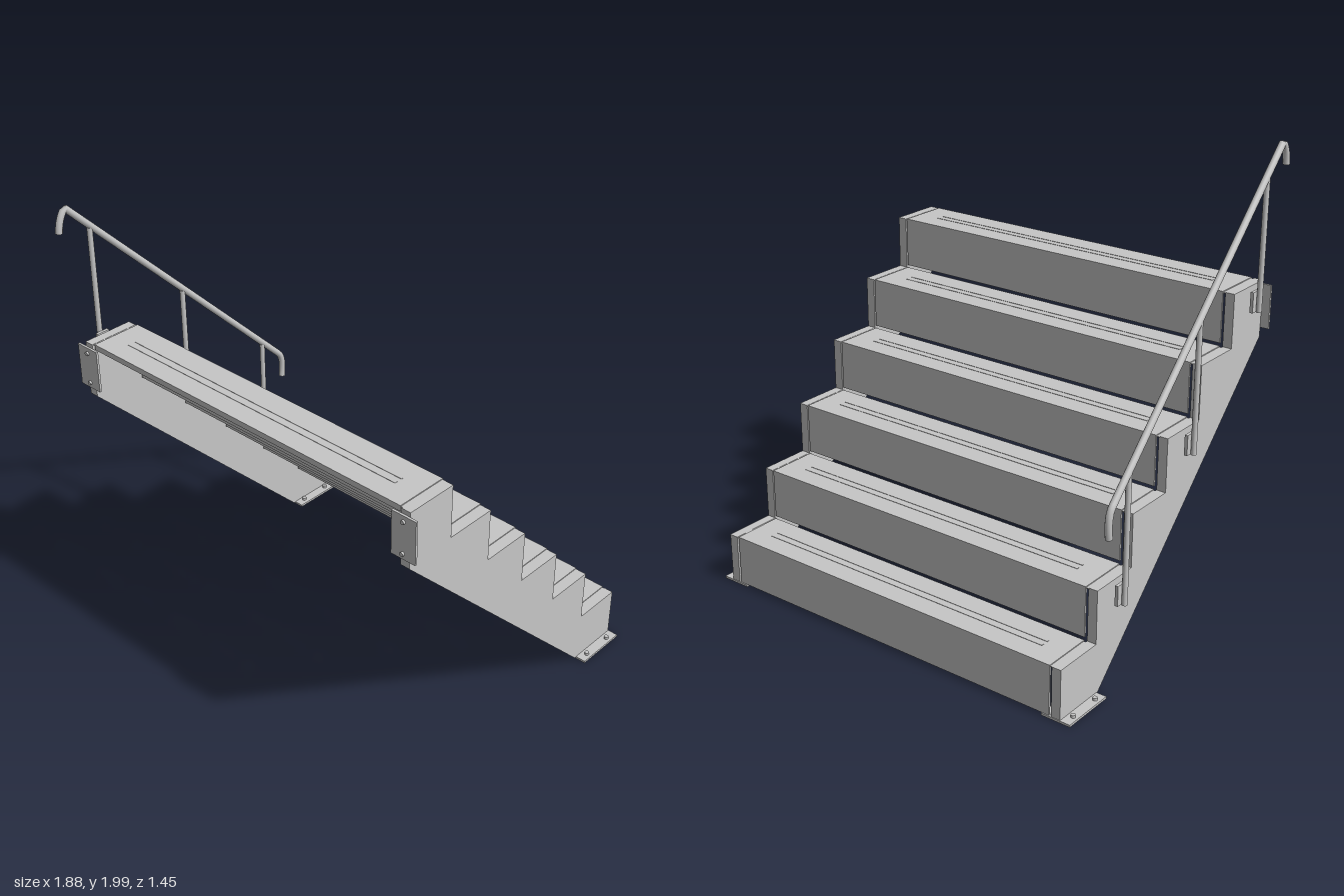
import * as THREE from 'three';

export function createModel() {
  const group = new THREE.Group();
  const steel = new THREE.MeshStandardMaterial({ color: 0xc6c6c6 });
  steel.name = 'steel grey';

  const STEPS = 6, RISE = 0.2335, RUN = 0.232, BACK = -0.722, CX = 0.006;

  const add = (name, geo, x = 0, y = 0, z = 0) => {
    const m = new THREE.Mesh(geo, steel);
    m.name = name;
    m.position.set(x, y, z);
    group.add(m);
    return m;
  };
  const box = (name, w, h, d, x, y, z) => add(name, new THREE.BoxGeometry(w, h, d), x, y, z);

  // Extrudes a [z, y] profile along x, centred on x = cx
  const profile = (name, pts, width, cx) => {
    const shape = new THREE.Shape(pts.map(([z, y]) => new THREE.Vector2(-z, y)));
    const geo = new THREE.ExtrudeGeometry(shape, { depth: width, bevelEnabled: false });
    geo.translate(0, 0, -width / 2);
    geo.rotateY(Math.PI / 2);
    return add(name, geo, cx);
  };

  // Saw-toothed side stringers, feet and wall plates
  const outline = [[-0.47, 0.008], [BACK, 0.008]];
  for (let i = 0; i < STEPS; i++) {
    const y = RISE * (i + 1) - 0.003;
    outline.push([BACK + RUN * i, y], [BACK + RUN * (i + 1), y]);
  }
  outline.push([0.67, 1.15]);
  for (const s of [-1, 1]) {
    const side = s < 0 ? 'right' : 'left';
    profile(side + 'Stringer', outline, 0.042, CX + s * 0.866);
    box(side + 'FootPlate', 0.134, 0.01, 0.245, CX + s * 0.867, 0.005, -0.602);
    box(side + 'WallPlate', 0.116, 0.19, 0.01, CX + s * 0.866, 1.285, 0.677);
    for (const z of [-0.672, -0.525]) {
      for (const x of [0.826, 0.912]) {
        add(side + 'FootBolt', new THREE.CylinderGeometry(0.01, 0.01, 0.012, 12), CX + s * x, 0.016, z);
      }
    }
    for (const y of [1.215, 1.355]) {
      add(side + 'WallBolt', new THREE.CylinderGeometry(0.009, 0.009, 0.01, 12), CX + s * 0.865, y, 0.686)
        .rotation.x = Math.PI / 2;
    }
  }

  // Folded treads: deep riser at the low edge, short lip at the high edge
  const T = 0.008;
  for (let i = 0; i < STEPS; i++) {
    const z0 = BACK + RUN * i - (i ? 0.004 : 0), z1 = BACK + RUN * (i + 1) - 0.005, y = RISE * (i + 1);
    profile('tread', [
      [z0, y - 0.222], [z0, y], [z1, y], [z1, y - 0.025],
      [z1 - T, y - 0.025], [z1 - T, y - T], [z0 + T, y - T], [z0 + T, y - 0.222],
    ], 1.67, CX);
    // Thin sheet joining the tread to both stringers
    box('treadTab', 1.7, 0.004, z1 - z0 - 0.004, CX, y - 0.006, (z0 + z1) / 2);
    for (const dz of [0.1, 0.135]) {
      box('gripStrip', 1.46, 0.003, 0.012, CX, y, z0 + dz);
    }
  }

  // Handrail with down-turned ends
  const RX = -0.93;
  const v = (z, y) => new THREE.Vector3(RX, y, z);
  const path = new THREE.CurvePath();
  path.add(new THREE.QuadraticBezierCurve3(v(0.708, 1.885), v(0.703, 1.945), v(0.67, 1.983)));
  path.add(new THREE.LineCurve3(v(0.67, 1.983), v(-0.48, 0.834)));
  path.add(new THREE.QuadraticBezierCurve3(v(-0.48, 0.834), v(-0.513, 0.80), v(-0.498, 0.705)));
  add('handrail', new THREE.TubeGeometry(path, 120, 0.015, 12));
  for (const [z, y, dz] of [[0.708, 1.885, 0.08], [-0.498, 0.705, 0.16]]) {
    add('railEnd', new THREE.CircleGeometry(0.015, 12), RX, y, z).lookAt(RX, y - 1, z + dz);
  }

  // Posts with brackets facing the stringer
  for (const [z, top] of [[0.557, 1.86], [0.092, 1.395], [-0.375, 0.93]]) {
    const bottom = top - 0.56;
    add('railPost', new THREE.CylinderGeometry(0.012, 0.012, top - bottom, 12), RX, (top + bottom) / 2, z);
    box('postBracket', 0.014, 0.088, 0.06, -0.911, bottom + 0.044, z);
  }

  return group;
}
